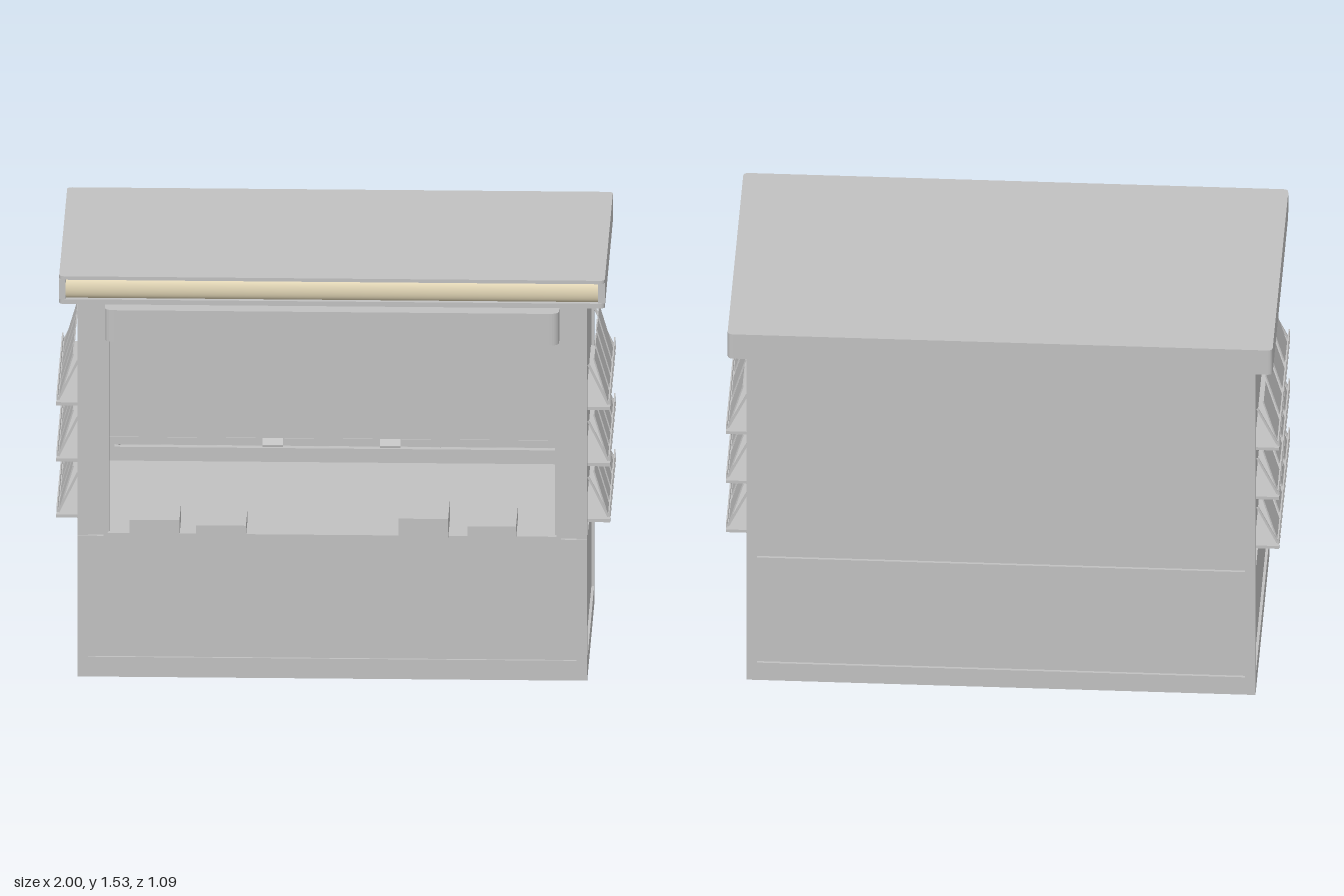
import * as THREE from 'three';

export function createModel() {
  const model = new THREE.Group();
  model.name = 'kiosk';
  const grey = new THREE.MeshStandardMaterial({ color: 0xc0c0c0 });
  grey.name = 'light grey';
  const cream = new THREE.MeshStandardMaterial({ color: 0xe2d6b6 });
  cream.name = 'cream';

  function add(name, geometry, parent = model, material = grey) {
    const mesh = new THREE.Mesh(geometry, material);
    mesh.name = name;
    parent.add(mesh);
    return mesh;
  }
  // Box given by its limits on each axis
  function box(name, x0, x1, y0, y1, z0, z1, parent = model) {
    const mesh = add(name, new THREE.BoxGeometry(x1 - x0, y1 - y0, z1 - z0), parent);
    mesh.position.set((x0 + x1) / 2, (y0 + y1) / 2, (z0 + z1) / 2);
    return mesh;
  }
  // Slab with rounded corners in plan
  function slab(name, hx, z0, z1, y0, y1, rBack, rFront) {
    const s = new THREE.Shape();
    const a = -z1, b = -z0; // shape y becomes -z
    s.moveTo(-hx + rFront, a);
    s.lineTo(hx - rFront, a);
    s.quadraticCurveTo(hx, a, hx, a + rFront);
    s.lineTo(hx, b - rBack);
    s.quadraticCurveTo(hx, b, hx - rBack, b);
    s.lineTo(-hx + rBack, b);
    s.quadraticCurveTo(-hx, b, -hx, b - rBack);
    s.lineTo(-hx, a + rFront);
    s.quadraticCurveTo(-hx, a, -hx + rFront, a);
    const g = new THREE.ExtrudeGeometry(s, { depth: y1 - y0, bevelEnabled: false, curveSegments: 6 });
    g.rotateX(-Math.PI / 2);
    g.translate(0, y0, 0);
    return add(name, g);
  }

  // Base, inset walls and serving deck
  const X = 0.92, ZB = -0.475, ZF = 0.455, top = 1.43;
  box('baseSkirt', -X, X, 0, 0.075, ZB, ZF);
  box('servingDeck', -0.9, 0.9, 0.51, 0.53, -0.45, 0.44);
  box('backWall', -0.91, 0.91, 0.075, top, ZB + 0.01, ZB + 0.025);
  box('frontLowerPanel', -0.91, 0.91, 0.075, 0.51, ZF - 0.025, ZF - 0.01);
  box('backRail', -X, X, 0.505, 0.53, ZB, ZB + 0.02);
  box('backTopRail', -X, X, 1.41, top, ZB, ZB + 0.02);
  box('frontRail', -X, X, 0.51, 0.535, ZF - 0.03, ZF + 0.005);
  box('frontTopRail', -X, X, 1.41, top, ZF - 0.03, ZF);
  for (const s of [-1, 1]) {
    const side = (name, a, b, ...rest) => box(name, Math.min(s * a, s * b), Math.max(s * a, s * b), ...rest);
    side('sideWall', 0.895, 0.91, 0.075, top, -0.46, 0.44);
    side('sideRail', 0.9, X, 0.505, 0.53, ZB, ZF);
    side('frontPost', 0.882, X, 0.075, top, 0.415, ZF);
    side('backPost', 0.882, X, 0.075, top, ZB, -0.435);
    side('windowSurround', 0.81, 0.89, 0.53, top, 0.425, 0.445);
    side('shutterGuide', 0.805, 0.825, 0.54, 1.42, 0.435, 0.475);
  }

  // Roof with a recessed bulging fascia strip at the front
  slab('roofLowerLip', 0.985, -0.54, 0.517, top, 1.448, 0.02, 0.02);
  slab('roofCore', 0.985, -0.54, 0.495, 1.448, 1.522, 0.02, 0.001);
  slab('roofTop', 0.985, -0.54, 0.517, 1.522, 1.535, 0.02, 0.02);
  for (const s of [-1, 1]) box('fasciaEnd', s * 0.973 - 0.012, s * 0.973 + 0.012, 1.448, 1.522, 0.49, 0.515);
  const strip = new THREE.CylinderGeometry(0.037, 0.037, 1.922, 16, 1, true, -Math.PI / 2, Math.PI);
  strip.rotateZ(Math.PI / 2);
  strip.scale(1, 1, 0.55);
  add('fasciaStrip', strip, model, cream).position.set(0, 1.485, 0.495);

  // Part-lowered shutter, its housing and pulls
  slab('shutterHousing', 0.82, 0.44, 0.545, 1.297, 1.417, 0.001, 0.035);
  box('shutter', -0.81, 0.81, 0.91, 1.4, 0.45, 0.462);
  box('shutterBottomBar', -0.81, 0.81, 0.897, 0.912, 0.447, 0.465);
  for (const x of [-0.215, 0.21]) {
    const pull = box('shutterPull', x - 0.037, x + 0.037, 0.898, 0.904, 0.462, 0.496);
    pull.rotation.x = 0.6;
  }

  // Counter and the stacks lying on it
  box('counter', -0.81, 0.81, 0.535, 0.557, 0.09, 0.495);
  for (const [x0, x1, h] of [[-0.73, -0.55, 0.062], [-0.49, -0.31, 0.043], [0.24, 0.42, 0.075], [0.49, 0.665, 0.048]])
    box('counterStack', x0, x1, 0.557, 0.557 + h, 0.3, 0.53);

  // Rack: shelves with a lip, leaning sheets and slanted end stays; wall at z = 0
  function rack(name, length, count, spacing, levels) {
    const group = new THREE.Group();
    group.name = name;
    const L = length / 2;
    for (const y of levels) {
      box('shelf', -L, L, y - 0.006, y + 0.006, 0, 0.09, group);
      box('shelfLip', -L, L, y + 0.015, y + 0.038, 0.084, 0.089, group);
      for (let i = 0; i < count; i++) {
        const sheet = add('leaningSheet', new THREE.BoxGeometry(0.13, 0.172, 0.005), group);
        sheet.position.set((i - (count - 1) / 2) * spacing, y + 0.093, 0.054);
        sheet.rotation.x = -0.29;
      }
      for (const s of [-1, 1]) {
        const stay = add('endStay', new THREE.BoxGeometry(0.006, 0.165, 0.008), group);
        stay.position.set(s * (L - 0.018), y + 0.085, 0.047);
        stay.rotation.x = -0.45;
      }
    }
    model.add(group);
    return group;
  }
  const sideLevels = [0.575, 0.787, 1.0];
  for (const s of [-1, 1]) {
    const r = rack(s > 0 ? 'leftRack' : 'rightRack', 0.73, 4, 0.17, sideLevels);
    r.position.set(s * 0.91, 0, -0.01);
    r.rotation.y = s * Math.PI / 2;
  }
  rack('interiorRack', 1.62, 8, 0.202, [0.605, 0.79, 0.975]).position.z = -0.45;

  return model;
}
